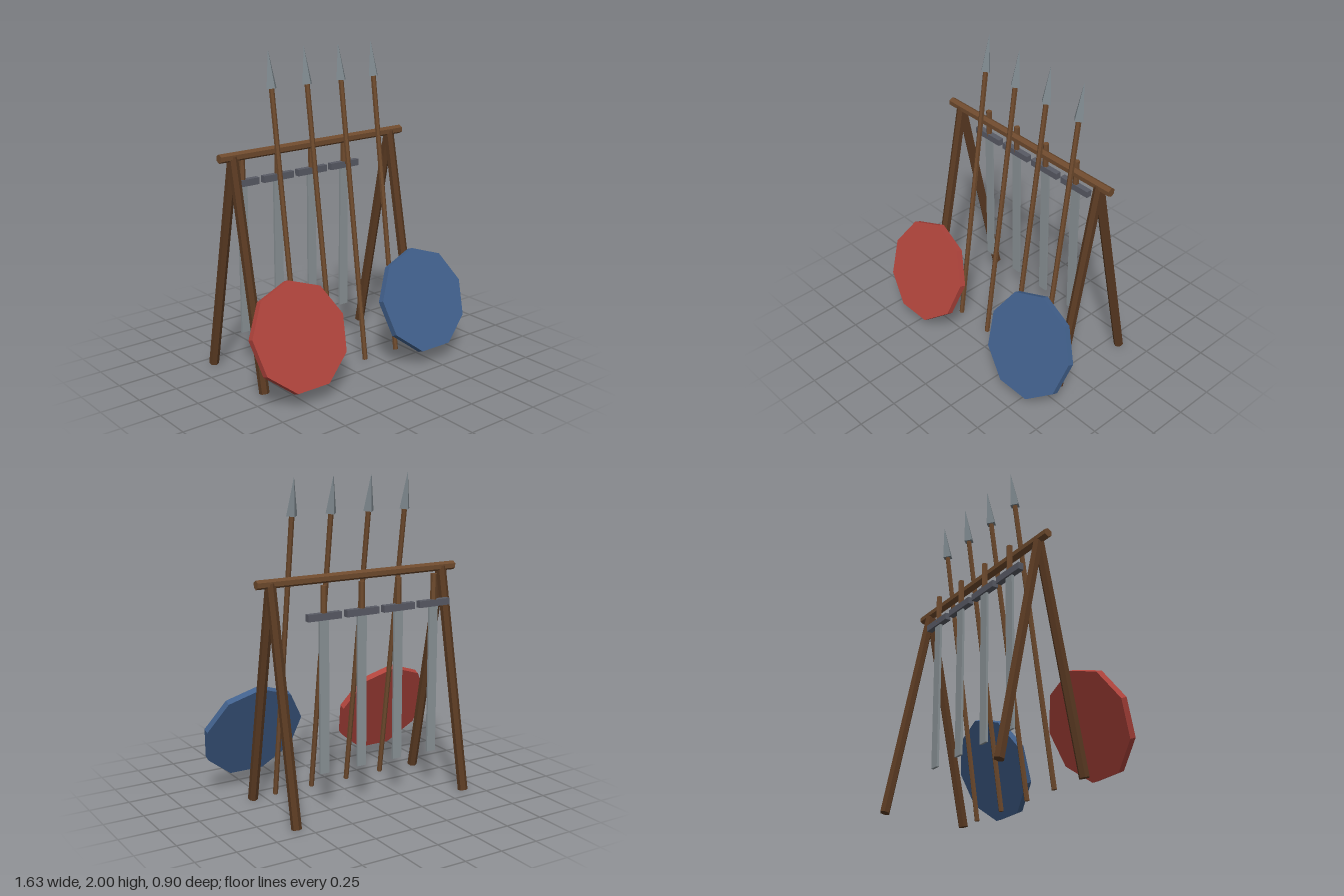
import * as THREE from 'three';

const mat = (color) => new THREE.MeshStandardMaterial({ color, flatShading: true });

export function createModel() {
  const root = new THREE.Group();
  root.name = 'weaponRack';

  const legWood = mat(0x5a3a22);
  const barWood = mat(0x6e4a2d);
  const steel = mat(0x8a9296);
  const darkSteel = mat(0x585a64);
  const headSteel = mat(0x7c868c);

  const add = (parent, name, geometry, material, x = 0, y = 0, z = 0) => {
    const mesh = new THREE.Mesh(geometry, material);
    mesh.name = name;
    mesh.position.set(x, y, z);
    parent.add(mesh);
    return mesh;
  };

  // Tapered rod between two points in the plane of constant x
  const rod = (parent, name, material, x, [y0, z0], [y1, z1], rBottom, rTop, sides) => {
    const length = Math.hypot(y1 - y0, z1 - z0);
    const geometry = new THREE.CylinderGeometry(rTop, rBottom, length, sides);
    const mesh = add(parent, name, geometry, material, x, (y0 + y1) / 2, (z0 + z1) / 2);
    mesh.rotation.x = Math.atan2(z1 - z0, y1 - y0);
    return mesh;
  };

  // A-frames at both ends
  const frame = new THREE.Group();
  frame.name = 'frame';
  root.add(frame);
  const apex = [1.4, -0.137];
  for (const [side, x] of [['right', -0.626], ['left', 0.577]]) {
    rod(frame, `${side}FrontLeg`, legWood, x, [0.006, 0.142], apex, 0.031, 0.031, 6);
    rod(frame, `${side}BackLeg`, legWood, x, [0.006, -0.416], apex, 0.031, 0.031, 6);
  }

  // Top rail, hexagonal with an edge upward
  const railGeometry = new THREE.CylinderGeometry(0.028, 0.028, 1.39, 6);
  railGeometry.rotateY(Math.PI / 6).rotateZ(Math.PI / 2);
  add(frame, 'topRail', railGeometry, barWood, -0.025, 1.4, -0.137);

  // Leaning spears and hanging swords
  for (let i = 0; i < 4; i++) {
    const spear = new THREE.Group();
    spear.name = `spear${i + 1}`;
    root.add(spear);
    const sx = -0.36 + i * 0.26;
    rod(spear, 'spearShaft', barWood, sx, [0.008, 0.141], [1.78, -0.113], 0.016, 0.016, 6);
    rod(spear, 'spearHead', headSteel, sx, [1.775, -0.112], [2.0, -0.144], 0.036, 0, 4);

    const sword = new THREE.Group();
    sword.name = `sword${i + 1}`;
    sword.position.set(-0.49 + i * 0.26, 0, -0.247);
    root.add(sword);
    add(sword, 'swordGrip', new THREE.CylinderGeometry(0.019, 0.019, 0.18, 6), barWood, 0, 1.292);
    add(sword, 'swordGuard', new THREE.BoxGeometry(0.224, 0.042, 0.037), darkSteel, 0, 1.2);
    add(sword, 'swordBlade', new THREE.BoxGeometry(0.062, 0.95, 0.015), steel, 0, 0.716);
  }

  // Nine-sided shields tilted back against the rack
  for (const [name, x, color] of [['rightShield', -0.487, 0xb0443c], ['leftShield', 0.487, 0x41608c]]) {
    const shield = add(root, name, new THREE.CylinderGeometry(0.333, 0.333, 0.043, 9), mat(color), x, 0.39, 0.31);
    // The axis lies forward and upward, one corner at the top
    shield.rotation.x = Math.PI / 2 - 0.39;
    shield.rotation.order = 'XYZ';
    shield.geometry.rotateY(Math.PI);
  }

  return root;
}
